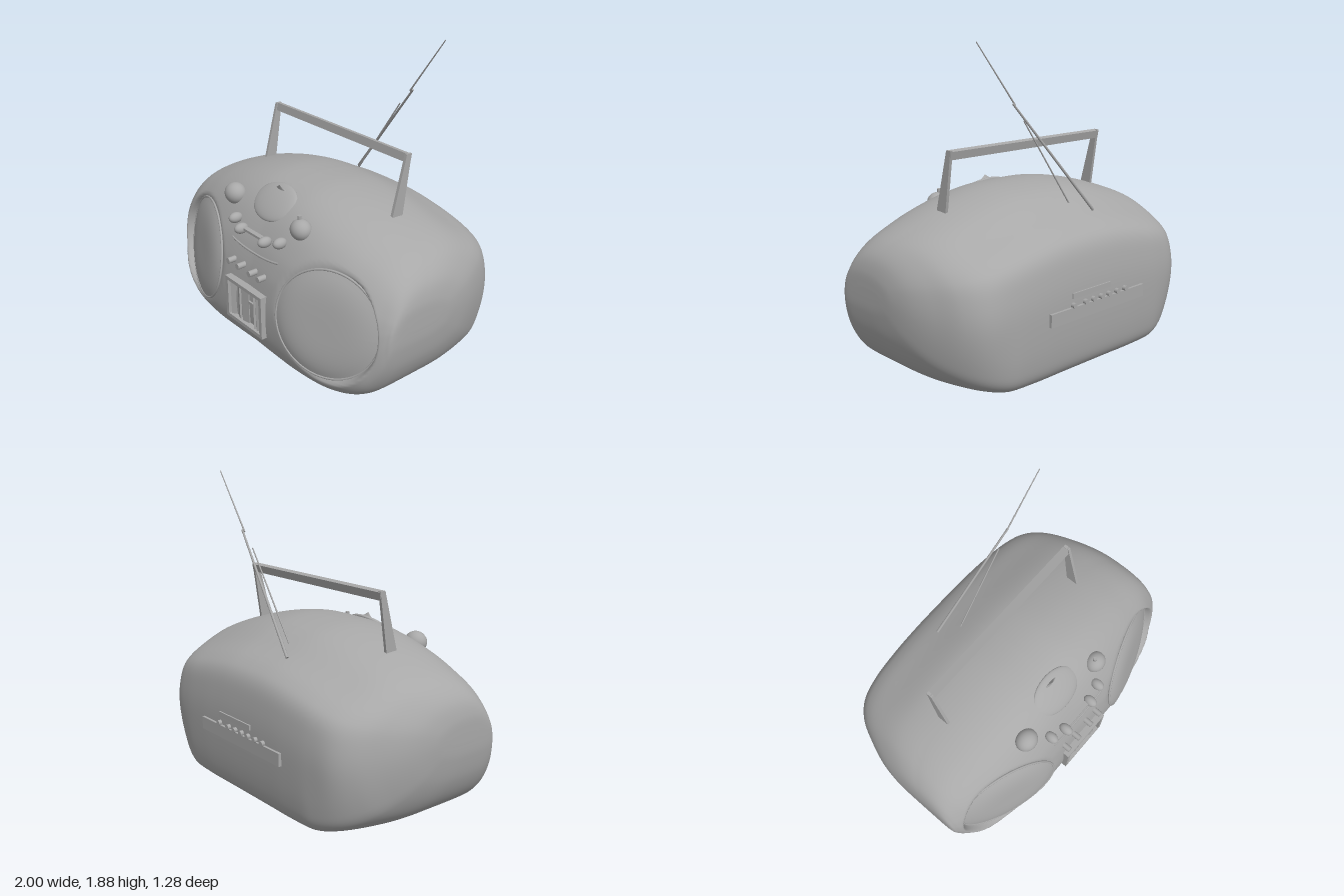
import * as THREE from 'three';

const grey = new THREE.MeshStandardMaterial({ color: 0xa8a8a8, side: THREE.DoubleSide });
grey.name = 'plain grey';
const V = (x, y, z) => new THREE.Vector3(x, y, z);

// Half-width stations: x, top y, bottom y, front z, back z
const stations = [
  [0, 1.04, 0, 0.605, -0.62], [0.2, 1.033, 0, 0.61, -0.62], [0.4, 1, 0, 0.607, -0.618],
  [0.6, 0.947, 0.008, 0.585, -0.606], [0.75, 0.893, 0.04, 0.55, -0.572], [0.85, 0.845, 0.095, 0.512, -0.485],
  [0.92, 0.793, 0.175, 0.465, -0.345], [0.97, 0.727, 0.285, 0.425, -0.205], [0.995, 0.645, 0.41, 0.385, -0.07],
  [1, 0.56, 0.5, 0.28, 0.04], [1, 0.53, 0.53, 0.17, 0.17],
];
// Side profile in unit depth (-1 back, 1 front) and unit height
const profile = [
  [0, 0], [0.6, 0], [0.8, 0.02], [0.93, 0.08], [0.99, 0.18], [1, 0.35], [0.97, 0.5], [0.93, 0.6],
  [0.86, 0.71], [0.73, 0.84], [0.57, 0.93], [0.35, 0.985], [0.05, 1], [-0.3, 0.965], [-0.62, 0.875],
  [-0.82, 0.81], [-0.93, 0.74], [-0.98, 0.62], [-1, 0.45], [-0.98, 0.2], [-0.92, 0.07], [-0.75, 0.02], [-0.4, 0],
];

// Tilted plane on which each speaker sits
const SP = { x: 0.597, y: 0.45, rx: 0.316, ry: 0.305 };
const speakerZ = (x, y) => 0.5 - 0.325 * (Math.abs(x) - 0.6) - 0.18 * (y - 0.45);

function bodyGeometry() {
  const NX = 160, NP = 150, pos = [], index = [];
  const columns = [0, 1, 2, 3, 4].map(c => new THREE.SplineCurve(stations.map(s => new THREE.Vector2(s[c], 0))));
  const loop = new THREE.CatmullRomCurve3(profile.map(([u, v]) => V(u, v, 0)), true, 'catmullrom', 0.5);
  const ring = Array.from({ length: NP }, (_, j) => loop.getPoint(j / NP));
  for (let i = 0; i <= NX; i++) {
    const s = (2 * i) / NX - 1;
    const [ax, top, bot, zf, zb] = columns.map(c => c.getPoint(Math.abs(s)).x);
    const x = Math.sign(s) * Math.min(ax, 1);
    const round = 0.75 * THREE.MathUtils.smoothstep(ax, 0.55, 1);
    for (const p of ring) {
      // rear corners grow rounder towards the ends
      const v = p.y * 2 - 1, k = p.x < 0 ? THREE.MathUtils.lerp(1, 1 / Math.hypot(p.x, v), round) : 1;
      const y = Math.max(0, bot + (v * k + 1) / 2 * (top - bot));
      let z = (zf + zb) / 2 + p.x * k * (zf - zb) / 2;
      // shallow recess behind each speaker, blended into the shell
      const d = Math.hypot((ax - SP.x) / SP.rx, (y - SP.y) / SP.ry);
      if (z > 0.2 && d < 1.1)
        z = THREE.MathUtils.lerp(Math.min(z, speakerZ(x, y) - 0.01), z, THREE.MathUtils.smoothstep(d, 0.97, 1.1));
      pos.push(x, y, z);
    }
  }
  for (let i = 0; i < NX; i++) for (let j = 0; j < NP; j++) {
    const a = i * NP + j, c = i * NP + (j + 1) % NP;
    index.push(a, a + NP, c, a + NP, c + NP, c);
  }
  const g = new THREE.BufferGeometry();
  g.setAttribute('position', new THREE.Float32BufferAttribute(pos, 3));
  g.setIndex(index);
  g.computeVertexNormals();
  return g;
}

export function createModel() {
  const model = new THREE.Group();
  const add = (name, geometry, x = 0, y = 0, z = 0) => {
    const m = new THREE.Mesh(geometry, grey);
    m.name = name;
    m.position.set(x, y, z);
    model.add(m);
    return m;
  };
  const box = (name, w, h, d, x, y, z) => add(name, new THREE.BoxGeometry(w, h, d), x, y, z);
  const rod = (name, a, b, r0, r1, sides = 10) => {
    const d = b.clone().sub(a);
    const m = add(name, new THREE.CylinderGeometry(r1, r0, d.length(), sides));
    m.position.copy(a).addScaledVector(d, 0.5);
    m.quaternion.setFromUnitVectors(V(0, 1, 0), d.normalize());
    return m;
  };

  const body = add('body', bodyGeometry());
  body.updateMatrixWorld();
  const ray = new THREE.Raycaster();
  // Point on the front of the body
  const front = (x, y) => {
    ray.set(V(x, y, 3), V(0, 0, -1));
    return ray.intersectObject(body)[0].point;
  };

  // Speakers: cushion-like cover and thin rim
  for (const side of [-1, 1]) {
    const cover = new THREE.RingGeometry(0, 1, 56, 10);
    const p = cover.attributes.position;
    for (let i = 0; i < p.count; i++) {
      const u = p.getX(i), v = p.getY(i);
      const x = side * SP.x + u * SP.rx, y = SP.y + v * SP.ry;
      p.setXYZ(i, x, y, speakerZ(x, y) + 0.04 * (1 - (u * u + v * v) ** 2));
    }
    cover.computeVertexNormals();
    add('speakerCover', cover);
    const rim = Array.from({ length: 40 }, (_, i) => {
      const a = (i / 40) * Math.PI * 2;
      const x = side * SP.x + Math.cos(a) * SP.rx, y = SP.y + Math.sin(a) * SP.ry;
      return V(x, y, speakerZ(x, y));
    });
    add('speakerRim', new THREE.TubeGeometry(new THREE.CatmullRomCurve3(rim, true), 80, 0.007, 8, true));
  }

  // Carrying handle: tapered, leaning posts and a crossbar
  for (const side of [-1, 1]) {
    const post = new THREE.BoxGeometry(0.018, 0.375, 1);
    const p = post.attributes.position;
    for (let i = 0; i < p.count; i++) {
      const up = p.getY(i) > 0;
      p.setZ(i, up ? -0.073 + p.getZ(i) * 0.035 : 0.005 + p.getZ(i) * 0.08);
    }
    post.computeVertexNormals();
    add('handlePost', post, side * 0.588 + 0.005, 1.108, 0);
  }
  box('handleBar', 1.19, 0.048, 0.034, 0.005, 1.27, -0.073).rotation.x = -0.21;

  // Two aerials, one with a thin extension
  rod('aerial', V(-0.19, 0.9, -0.415), V(0.36, 1.55, -0.325), 0.009, 0.006);
  rod('aerialTip', V(0.34, 1.54, -0.322), V(0.6, 1.88, -0.312), 0.005, 0.003);
  rod('secondAerial', V(-0.1, 0.92, -0.32), V(0.27, 1.45, -0.315), 0.005, 0.004);

  // Oval display on the upper slope, with a raised visor
  const display = add('display', new THREE.SphereGeometry(1, 40, 20), -0.02, 0.925, 0.375);
  display.scale.set(0.175, 0.125, 0.03);
  display.rotation.x = -0.82;
  const visor = add('displayVisor', new THREE.ConeGeometry(0.1, 0.07, 24), -0.02, 0.99, 0.33);
  visor.scale.z = 0.2;
  visor.rotation.x = 0.4;

  // Large knobs, the left one with a pin
  const sphere = new THREE.SphereGeometry(1, 24, 16);
  for (const [x, y, r] of [[-0.35, 0.885, 0.072], [0.29, 0.88, 0.067]])
    add('largeKnob', sphere, x, y, 0.43).scale.set(r, r * 0.92, r * 0.9);
  rod('knobPin', V(0.278, 0.93, 0.43), V(0.278, 0.962, 0.43), 0.012, 0.012);

  // Small knobs and the bar between them
  for (const [x, y, z] of [[-0.223, 0.795, 0.52], [-0.122, 0.772, 0.55], [0.11, 0.772, 0.55], [0.213, 0.795, 0.52]])
    add('smallKnob', sphere, x, y, z).scale.set(0.031, 0.032, 0.045);
  box('knobBar', 0.22, 0.014, 0.03, 0, 0.777, 0.54);

  // Curved trim line under the knobs
  const trim = Array.from({ length: 13 }, (_, i) => {
    const x = -0.22 + i * 0.0375;
    return front(x, 0.66 + 0.4 * x * x);
  });
  add('trimLine', new THREE.TubeGeometry(new THREE.CatmullRomCurve3(trim), 40, 0.007, 6));

  // Row of push buttons
  for (const x of [-0.158, -0.063, 0.053, 0.14])
    rod('pushButton', V(x, 0.57, 0.55), V(x, 0.57, 0.63), 0.018, 0.018, 16);

  // Cassette door: open frame with slats inside
  for (const y of [0.211, 0.459]) box('cassetteFrame', 0.36, 0.022, 0.08, 0, y, 0.6);
  for (const x of [-0.168, 0.168]) box('cassetteFrame', 0.024, 0.27, 0.08, x, 0.335, 0.6);
  for (const [x, w, turn] of [[-0.13, 0.04, 0.6], [-0.075, 0.04, -0.4], [-0.01, 0.055, 0.2], [0.075, 0.04, -0.6], [0.125, 0.04, 0.5]])
    box('cassetteSlat', w, 0.23, 0.012, x, 0.335, 0.612).rotation.y = turn;
  box('cassetteCrossbar', 0.13, 0.02, 0.014, 0.085, 0.365, 0.61);

  // Rear panel: long strip, upper ridge and a row of pegs
  box('rearStrip', 0.77, 0.075, 0.04, -0.015, 0.415, -0.615);
  box('rearRidge', 0.31, 0.03, 0.03, 0.04, 0.515, -0.613);
  for (const x of [-0.24, -0.17, -0.1, -0.035, 0.03, 0.095, 0.19])
    rod('rearPeg', V(x, 0.462, -0.6), V(x, 0.462, -0.641), 0.016, 0.016, 10);

  return model;
}
